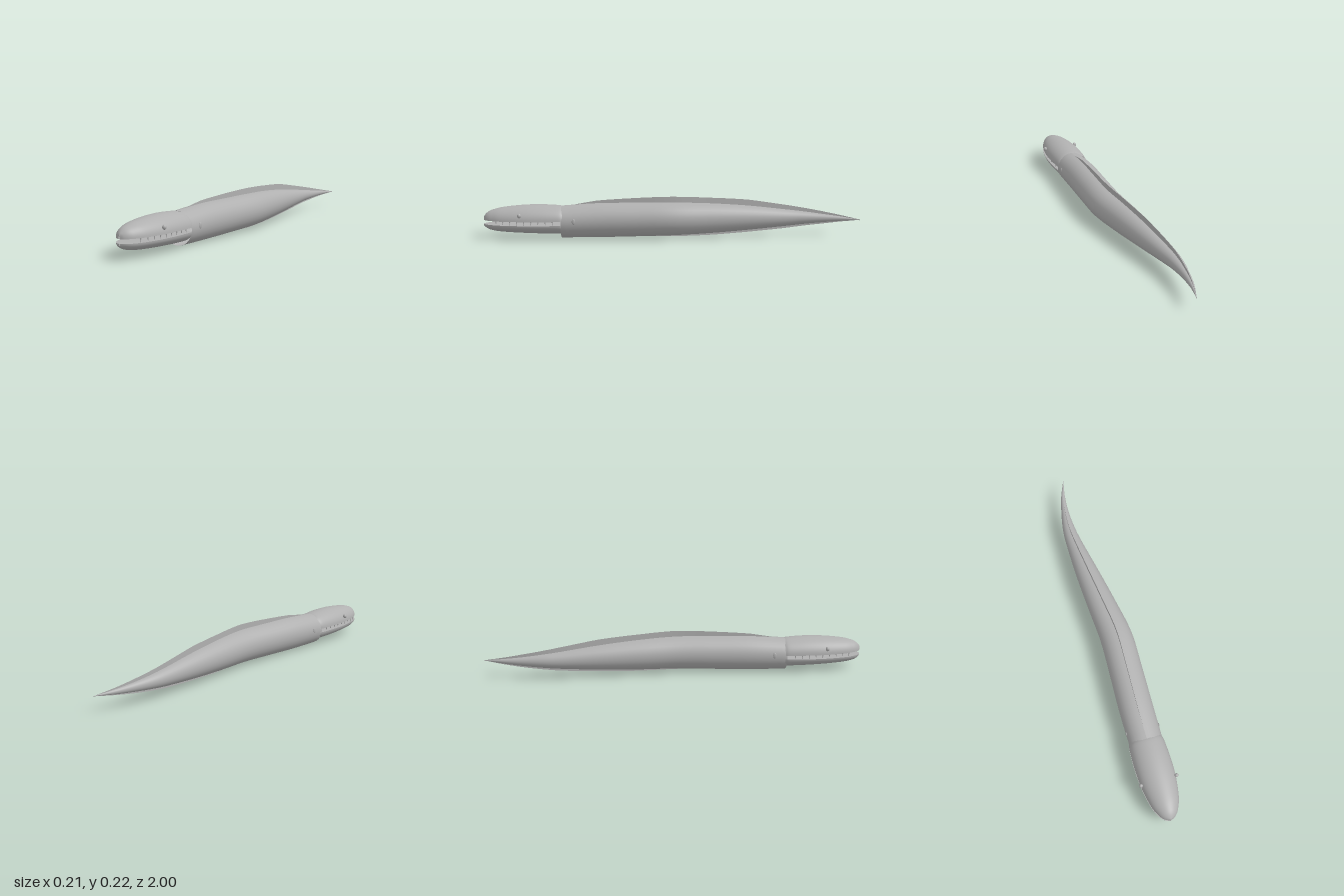
import * as THREE from 'three';

const skin = new THREE.MeshStandardMaterial({ color: 0xb0b0b0, side: THREE.DoubleSide });
skin.name = 'grey skin';

// Skin a grid of points; rows run from the nose towards the tail
function loft(name, rows) {
  const n = rows[0].length, index = [];
  for (let i = 0; i < rows.length - 1; i++) {
    for (let j = 0; j < n - 1; j++) {
      const a = i * n + j, b = a + n;
      index.push(a, b, a + 1, b, b + 1, a + 1);
    }
  }
  const geo = new THREE.BufferGeometry();
  geo.setAttribute('position', new THREE.Float32BufferAttribute(rows.flat(2), 3));
  geo.setIndex(index);
  geo.computeVertexNormals();
  return named(name, geo);
}

function named(name, geo) {
  const mesh = new THREE.Mesh(geo, skin);
  mesh.name = name;
  return mesh;
}

// Smoothly resample a table of [z, ...values]
function resample(table, count) {
  const curve = (k) => new THREE.CatmullRomCurve3(
    table.map((r) => new THREE.Vector3(r[k], r[k + 1] ?? 0, r[0])), false, 'centripetal');
  const uniform = [1, 3].map((k) => { const c = curve(k); c.curveType = 'catmullrom'; return c; });
  return Array.from({ length: count + 1 }, (_, i) => {
    const [p, q] = uniform.map((c) => c.getPoint(i / count));
    return { z: p.z, a: p.x, b: p.y, c: q.x, d: q.y };
  });
}

// Body: z, centre x, half width, top y, bottom y
const BODY = [
  [0.588, 0, 0.087, 0.172, 0.003], [0.4, 0.003, 0.089, 0.185, 0.004],
  [0.2, 0.011, 0.088, 0.188, 0.009], [0, 0.016, 0.086, 0.189, 0.015],
  [-0.2, -0.005, 0.076, 0.181, 0.022], [-0.4, -0.028, 0.062, 0.165, 0.034],
  [-0.6, -0.048, 0.043, 0.141, 0.05], [-0.7, -0.052, 0.033, 0.129, 0.06],
  [-0.8, -0.045, 0.021, 0.116, 0.07], [-0.9, -0.029, 0.011, 0.104, 0.08],
  [-1, 0, 0.0005, 0.091, 0.09],
];
// Fin edges: z, height above the back, depth below the belly
const FINS = [
  [0.53, 0, 0], [0.4, 0.014, 0], [0.2, 0.025, 0], [0.12, 0.028, 0], [0, 0.031, 0.007],
  [-0.2, 0.03, 0.011], [-0.4, 0.032, 0.012], [-0.6, 0.025, 0.012], [-0.8, 0.015, 0.008], [-1, 0, 0],
];
// Head: z, half width, upper jaw height, lower jaw depth
const HEAD = [
  [1, 0.002, 0.016, 0.01], [0.992, 0.022, 0.028, 0.017], [0.975, 0.041, 0.043, 0.027],
  [0.95, 0.056, 0.054, 0.035], [0.9, 0.075, 0.066, 0.042], [0.8, 0.092, 0.077, 0.048],
  [0.7, 0.096, 0.08, 0.052], [0.605, 0.092, 0.075, 0.054], [0.578, 0.086, 0.068, 0.053],
];
const UPPER_Y = 0.099, LOWER_Y = 0.078, HEAD_X = -0.002;

// Linear lookup in a table by z
function at(table, z, k) {
  let i = 0;
  while (i < table.length - 2 && table[i + 1][0] > z) i++;
  const [p, q] = [table[i], table[i + 1]];
  return THREE.MathUtils.lerp(p[k], q[k], THREE.MathUtils.clamp((p[0] - z) / (p[0] - q[0]), 0, 1));
}

function arc(cx, cy, rx, ry, z, from, sweep, n) {
  return Array.from({ length: n + 1 }, (_, j) => {
    const t = from + (sweep * j) / n;
    return [cx + rx * Math.cos(t), cy + ry * Math.sin(t), z];
  });
}

export function createModel() {
  const group = new THREE.Group();
  group.name = 'eel';

  // Long curving body, open at the throat
  const spine = resample(BODY, 60);
  group.add(loft('body', spine.map((s) =>
    arc(s.a, (s.c + s.d) / 2, s.b, (s.c - s.d) / 2, s.z, Math.PI / 2, Math.PI * 2, 28))));

  // Thin fins along the back and belly
  const back = spine.filter((s) => s.z < 0.53);
  group.add(loft('dorsalFin', back.map((s) =>
    [[s.a, s.c - 0.004, s.z], [s.a, s.c + at(FINS, s.z, 1), s.z]])));
  const belly = spine.filter((s) => s.z < 0.12);
  group.add(loft('ventralFin', belly.map((s) =>
    [[s.a, s.d - at(FINS, s.z, 2), s.z], [s.a, Math.min(s.d + 0.004, s.c), s.z]])));

  // Head with two separate jaws
  const head = new THREE.Group();
  head.name = 'head';
  head.position.x = HEAD_X;
  group.add(head);
  const skull = resample(HEAD, 40);
  head.add(loft('upperJaw', skull.map((s) => arc(0, UPPER_Y, s.a, s.b, s.z, 0, Math.PI, 24))));
  head.add(loft('lowerJaw', skull.map((s) => arc(0, LOWER_Y, s.a, s.c, s.z, Math.PI, Math.PI, 24))));
  head.add(loft('palate', skull.map((s) => [[-s.a, UPPER_Y, s.z], [s.a, UPPER_Y, s.z]])));
  head.add(loft('mouthFloor', skull.map((s) => [[s.a, LOWER_Y, s.z], [-s.a, LOWER_Y, s.z]])));

  for (const side of [-1, 1]) {
    // Eyes
    const eye = named('eye', new THREE.SphereGeometry(0.01, 16, 12));
    eye.scale.y = 1.2;
    eye.position.set(side * 0.093, 0.132, 0.8);
    head.add(eye);

    // Needle teeth
    for (let i = 0; i < 9; i++) {
      const z = 0.63 + i * 0.037;
      const tooth = named('tooth', new THREE.ConeGeometry(0.0035, 0.022, 8));
      tooth.rotation.x = Math.PI;
      tooth.position.set(side * at(HEAD, z, 1) * 0.93, UPPER_Y - 0.01, z);
      head.add(tooth);
    }

    // Gill openings
    const gill = named('gill', new THREE.SphereGeometry(1, 14, 10));
    gill.scale.set(0.004, 0.016, 0.009);
    gill.position.set(side * 0.087 + 0.001, 0.1, 0.52);
    group.add(gill);
  }
  return group;
}
